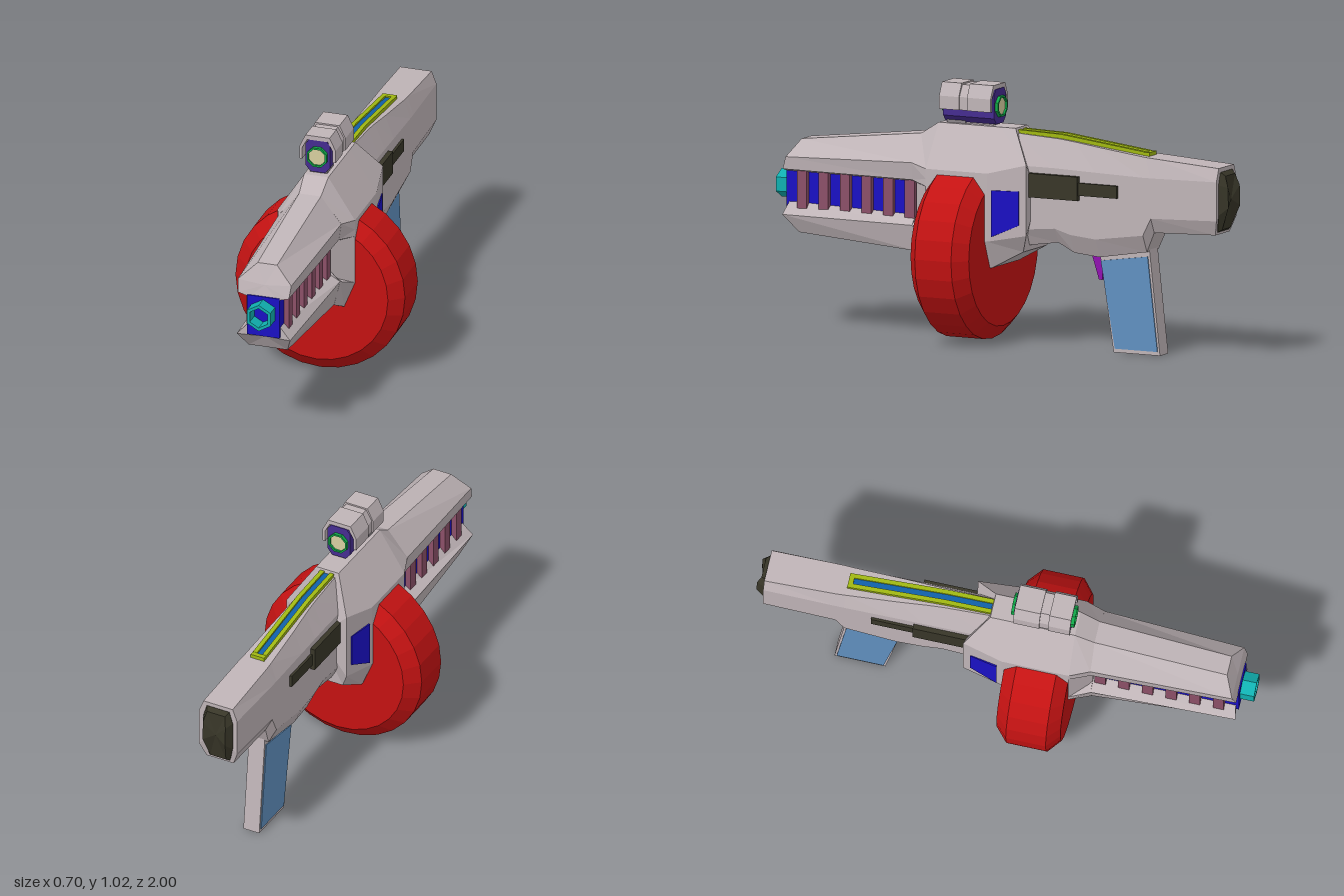
import * as THREE from 'three';

const mat = (color) => new THREE.MeshStandardMaterial({ color, flatShading: true });
const M = {
  shell: mat(0xbfb4b7), red: mat(0xc41212), blue: mat(0x1a10c4), rib: mat(0x8c5068), cyan: mat(0x10b0b0),
  purple: mat(0x452c90), green: mat(0x10a848), lens: mat(0xd8d0a0), lime: mat(0xa0b812), navy: mat(0x1060a8),
  dark: mat(0x383628), panel: mat(0x6090c0), trigger: mat(0x9010b0), mount: mat(0x8a8488),
};

// Mirrored loft: each ring is a right half-outline [x, y, z] from top to bottom; rings run front to back
function loft(halves) {
  const rings = halves.map((h) => [...h, ...h.slice().reverse().map(([x, y, z]) => [-x, y, z])]);
  const pos = [], n = rings[0].length;
  const tri = (...p) => p.forEach((v) => pos.push(...v));
  const centre = (r) => [0, 1, 2].map((k) => r.reduce((s, p) => s + p[k], 0) / n);
  const first = rings[0], last = rings[rings.length - 1];
  const cf = centre(first), cl = centre(last);
  for (let i = 0; i < n; i++) {
    const j = (i + 1) % n;
    for (let r = 0; r < rings.length - 1; r++) {
      const a = rings[r], b = rings[r + 1];
      tri(a[i], a[j], b[j]);
      tri(a[i], b[j], b[i]);
    }
    tri(cf, first[j], first[i]);
    tri(cl, last[i], last[j]);
  }
  const g = new THREE.BufferGeometry();
  g.setAttribute('position', new THREE.Float32BufferAttribute(pos, 3));
  g.computeVertexNormals();
  return g;
}

const shapeOf = (pts) => new THREE.Shape(pts.map(([a, b]) => new THREE.Vector2(a, b)));
const polygon = (n, r, turn) => Array.from({ length: n }, (_, i) => {
  const a = turn + (i / n) * Math.PI * 2;
  return [r * Math.cos(a), r * Math.sin(a)];
});
const extrude = (shape, depth) => new THREE.ExtrudeGeometry(shape, { depth, bevelEnabled: false });

// Side outline in (z, y), given a width along x
const sidePrism = (pts, width, x = 0) =>
  extrude(shapeOf(pts), width).translate(0, 0, -width / 2).rotateY(-Math.PI / 2).translate(x, 0, 0);

// Polygonal tube along z
function tube(n, outer, inner, turn, y, z0, z1) {
  const s = shapeOf(polygon(n, outer, turn));
  s.holes.push(new THREE.Path(polygon(n, inner, turn).map(([a, b]) => new THREE.Vector2(a, b))));
  return extrude(s, z1 - z0).translate(0, y, z0);
}

const box = (x0, x1, y0, y1, z0, z1) => new THREE.BoxGeometry(x1 - x0, y1 - y0, z1 - z0)
  .translate((x0 + x1) / 2, (y0 + y1) / 2, (z0 + z1) / 2);

export function createModel() {
  const model = new THREE.Group();
  const add = (name, geo, material) => {
    const m = new THREE.Mesh(geo, material);
    m.name = name;
    model.add(m);
    return m;
  };
  const at = (z, pts) => pts.map(([x, y, pz = z]) => [x, y, pz]);

  // Central housing, flaring out around the drum
  const wide = [[0.05, 0.86], [0.16, 0.69], [0.16, 0.65], [0.16, 0.62], [0.16, 0.45], [0.16, 0.42], [0.115, 0.31]];
  add('housing', loft([
    at(0.36, [[0.045, 0.81], [0.13, 0.705], [0.12, 0.635], [0.085, 0.62], [0.085, 0.47], [0.125, 0.455], [0.1, 0.35]]),
    at(0.28, wide),
    at(0.01, wide),
    at(-0.15, [[0.05, 0.86, -0.06], [0.133, 0.73], [0.133, 0.65], [0.133, 0.62], [0.133, 0.47], [0.133, 0.45],
      [0.1, 0.38, -0.12]]),
  ]), M.shell);

  // Window panel following the taper of the housing
  const win = sidePrism([[-0.01, 0.625], [-0.12, 0.625], [-0.12, 0.49], [-0.01, 0.44]], 0.33);
  const wp = win.attributes.position;
  for (let i = 0; i < wp.count; i++) wp.setX(i, wp.getX(i) * (1 + 1.2 * wp.getZ(i)));
  add('housingWindows', win, M.blue);

  // Upper and lower fore-end covers
  add('upperForeEnd', loft([
    at(0.94, [[0.04, 0.75, 0.89], [0.11, 0.685, 0.925], [0.105, 0.635], [0.06, 0.622]]),
    at(0.35, [[0.045, 0.812], [0.13, 0.705], [0.12, 0.635], [0.06, 0.62]]),
  ]), M.shell);
  add('lowerForeEnd', loft([
    at(0.94, [[0.064, 0.505, 0.93], [0.11, 0.455], [0.08, 0.385, 0.88]]),
    at(0.35, [[0.064, 0.49], [0.125, 0.455], [0.1, 0.35]]),
  ]), M.shell);

  // Blue core with ribs, and hexagonal muzzle
  add('core', box(-0.067, 0.067, 0.46, 0.63, 0.3, 0.943), M.blue);
  for (let i = 0; i < 6; i++) {
    const z = 0.865 - i * 0.095;
    add('rib', box(-0.088, 0.088, 0.465, 0.632, z - 0.022, z + 0.022), M.rib);
  }
  add('muzzle', tube(6, 0.056, 0.042, Math.PI / 6, 0.563, 0.93, 1), M.cyan);

  // Round drum, axis along the body
  const profile = [[0, 0.02], [0.295, 0.02], [0.35, 0.07], [0.35, 0.23], [0.295, 0.277], [0, 0.277]];
  const drum = new THREE.LatheGeometry(profile.map(([r, h]) => new THREE.Vector2(r, h)), 28);
  add('drum', drum.rotateX(Math.PI / 2).translate(0, 0.36, 0), M.red);

  // Rear body and stock
  add('stock', loft([
    at(-0.04, [[0.035, 0.84], [0.085, 0.72], [0.085, 0.46], [0.05, 0.39]]),
    at(-0.25, [[0.04, 0.83], [0.085, 0.72], [0.085, 0.48], [0.05, 0.42]]),
    at(-0.32, [[0.043, 0.823], [0.085, 0.718], [0.085, 0.46], [0.05, 0.385]]),
    at(-0.43, [[0.05, 0.81], [0.085, 0.715], [0.085, 0.45], [0.05, 0.375]]),
    at(-0.64, [[0.06, 0.787], [0.085, 0.71], [0.085, 0.48], [0.05, 0.41]]),
    at(-0.675, [[0.062, 0.785], [0.085, 0.71], [0.085, 0.55], [0.055, 0.49]]),
    at(-0.965, [[0.065, 0.767], [0.085, 0.715], [0.085, 0.56], [0.06, 0.5, -0.948]]),
  ]), M.shell);
  add('buttPad', loft([
    at(-0.95, [[0.05, 0.75], [0.065, 0.7], [0.065, 0.58], [0.045, 0.51, -0.94]]),
    at(-0.965, [[0.05, 0.75], [0.065, 0.7], [0.065, 0.58], [0.045, 0.51, -0.95]]),
    at(-1, [[0.04, 0.735, -0.982], [0.05, 0.69, -0.998], [0.05, 0.61], [0.035, 0.52, -0.965]]),
  ]), M.dark);

  // Side levers
  for (const s of [-1, 1]) {
    add('sideBlock', box(-0.02, 0.02, 0.6, 0.695, -0.36, -0.14).translate(s * 0.085, 0, 0), M.dark);
    add('sideBar', box(-0.015, 0.015, 0.62, 0.67, -0.53, -0.35).translate(s * 0.08, 0, 0), M.dark);
  }

  // Grip with inset panels, and trigger
  add('grip', sidePrism([[-0.42, 0.42], [-0.485, 0], [-0.69, 0], [-0.64, 0.45]], 0.07), M.shell);
  add('gripPanels', sidePrism([[-0.43, 0.36], [-0.492, 0.015], [-0.68, 0.015], [-0.637, 0.39]], 0.078), M.panel);
  add('trigger', sidePrism([[-0.375, 0.39], [-0.41, 0.28], [-0.425, 0.28], [-0.43, 0.39]], 0.03), M.trigger);

  // Top strip: two rails, an end stop and the inlay
  const strip = (drop) => [[-0.06, 0.852 - drop], [-0.25, 0.847 - drop], [-0.62, 0.803 - drop],
    [-0.62, 0.77], [-0.25, 0.81], [-0.06, 0.81]];
  for (const x of [-0.021, 0.021]) add('stripRail', sidePrism(strip(0), 0.018, x), M.lime);
  add('stripEnd', box(-0.03, 0.03, 0.77, 0.802, -0.64, -0.62), M.lime);
  add('stripInlay', sidePrism(strip(0.007), 0.026), M.navy);

  // Sight body, end rings, lenses and mount
  const body = [[0.035, 1.005], [0.05, 0.985], [0.05, 0.89], [0.03, 0.866]];
  add('sightBody', loft([at(0.26, body), at(0.035, body)]), M.purple);
  for (const [z0, z1] of [[0.25, 0.275], [0.022, 0.045]]) {
    add('sightRing', tube(8, 0.044, 0.036, Math.PI / 8, 0.935, z0, z1), M.green);
  }
  add('sightLenses', extrude(shapeOf(polygon(8, 0.038, Math.PI / 8)), 0.238).translate(0, 0.935, 0.03), M.lens);
  add('sightMount', box(-0.035, 0.035, 0.85, 0.89, 0.17, 0.25), M.mount);
  add('sightFoot', box(-0.025, 0.025, 0.85, 0.875, 0.05, 0.24), M.shell);

  // Hood over the sight: two covers joined by a lower band
  const hood = (d, z0, z1) => {
    const outer = [[0.075 - d, 0.918], [0.075 - d, 0.97], [0.05 - d, 1.022 - d]];
    const inner = [[0.063, 0.918], [0.063, 0.966], [0.042, 1.004]];
    const flip = (p) => p.slice().reverse().map(([x, y]) => [-x, y]);
    return extrude(shapeOf([...outer, ...flip(outer), ...inner.map(([x, y]) => [-x, y]), ...flip(inner).map(([x, y]) => [-x, y])
      .map(([x, y]) => [-x, y]).map(([x, y]) => [-x, y])]), z1 - z0).translate(0, 0, z0);
  };
  add('hoodFront', hood(0, 0.178, 0.265), M.shell);
  add('hoodBand', hood(0.006, 0.14, 0.18), M.shell);
  add('hoodRear', hood(0, 0.038, 0.142), M.shell);
  return model;
}
